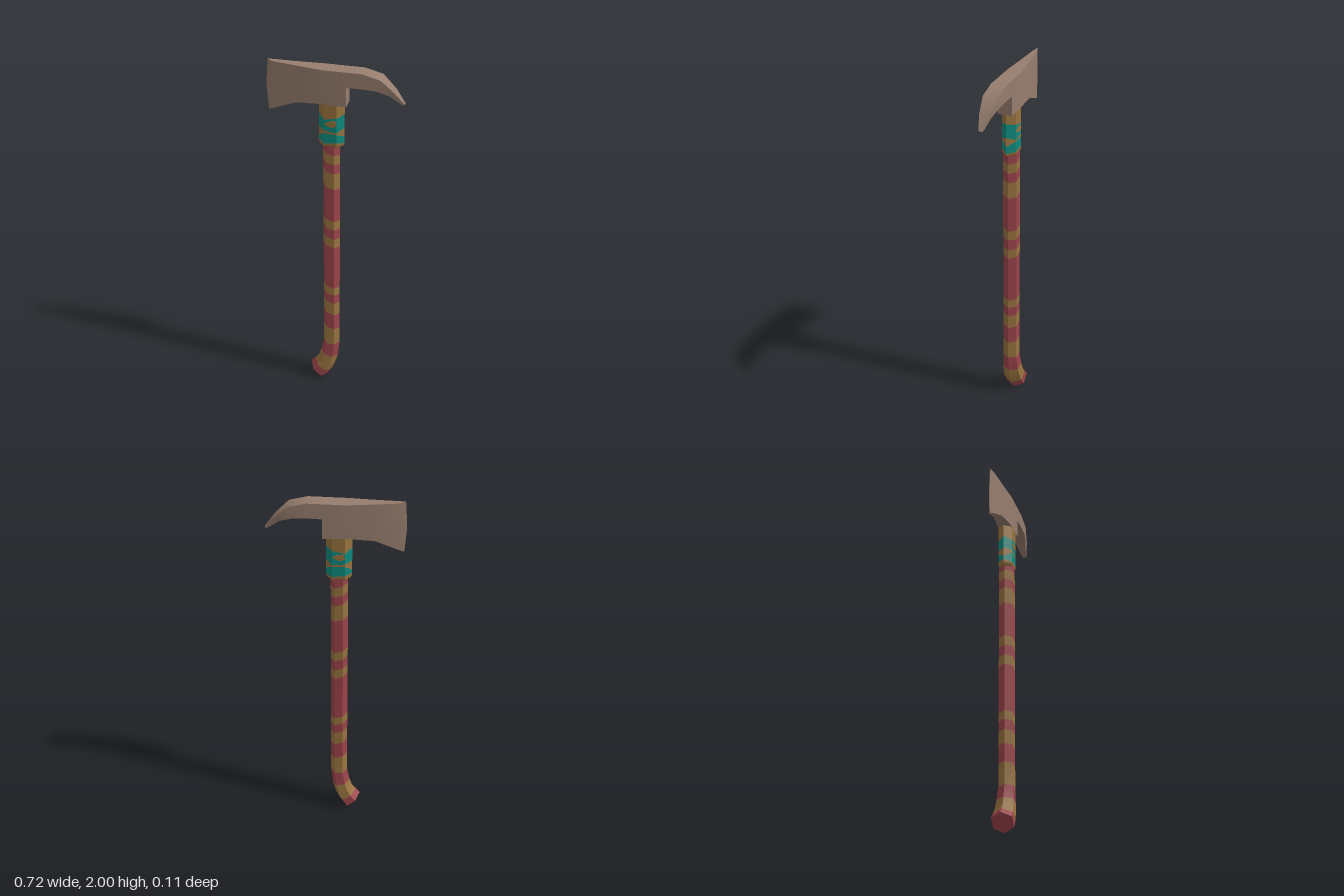
import * as THREE from 'three';
import { toCreasedNormals } from 'three/addons/utils/BufferGeometryUtils.js';

const mat = (name, color) => {
  const m = new THREE.MeshStandardMaterial({ color });
  m.name = name;
  return m;
};

// Skin a list of rings (arrays of [x, y, z]) with end caps; tones[i] is the material index of segment i.
function loft(rings, tones, crease = 0.6) {
  const pos = [];
  const geo = new THREE.BufferGeometry();
  const n = rings[0].length;
  const tri = (a, b, c) => pos.push(...a, ...b, ...c);
  const group = (tone, draw) => {
    const start = pos.length / 3;
    draw();
    geo.addGroup(start, pos.length / 3 - start, tone);
  };
  const cap = (r, flip) => {
    for (let k = 1; k < n - 1; k++) flip ? tri(r[0], r[k + 1], r[k]) : tri(r[0], r[k], r[k + 1]);
  };
  group(tones[0], () => cap(rings[0], true));
  for (let i = 0; i < rings.length - 1; i++) {
    group(tones[i], () => {
      for (let k = 0; k < n; k++) {
        const j = (k + 1) % n;
        const [a, b, c, d] = [rings[i][k], rings[i][j], rings[i + 1][j], rings[i + 1][k]];
        tri(a, b, c);
        tri(a, c, d);
      }
    });
  }
  group(tones[tones.length - 1], () => cap(rings[rings.length - 1], false));
  geo.setAttribute('position', new THREE.Float32BufferAttribute(pos, 3));
  return toCreasedNormals(geo, crease);
}

// Hexagon spanning from a left point to a right point, with optional height offsets per corner
function hexRing(lx, ly, rx, ry, hz, wave = [0, 0, 0, 0, 0, 0]) {
  const corners = [[0, 0], [0.25, 1], [0.75, 1], [1, 0], [0.75, -1], [0.25, -1]];
  return corners.map(([t, s], k) => [lx + (rx - lx) * t, ly + (ry - ly) * t + wave[k], s * hz]);
}

export function createModel() {
  const red = mat('red wrap', 0x9c444a);
  const ochre = mat('ochre wood', 0x98733f);
  const teal = mat('teal paint', 0x0f897d);
  const metal = mat('brown metal', 0x967d6e);
  const axe = new THREE.Group();
  axe.name = 'axe';
  const add = (name, geo, material) => {
    const mesh = new THREE.Mesh(geo, material);
    mesh.name = name;
    axe.add(mesh);
    return mesh;
  };

  // Handle: curved flared foot, then a straight shaft with slanted bands
  const shaft = [
    hexRing(-0.14, 0.09, -0.05, 0.005, 0.055),
    hexRing(-0.115, 0.118, -0.02, 0.052, 0.053),
    hexRing(-0.095, 0.145, 0.0, 0.1, 0.049),
    hexRing(-0.08, 0.19, 0.016, 0.162, 0.045),
  ];
  const tones = [0, 1, 1, 0];
  const bands = [0.26, 0.375, 0.475, 0.555, 0.61, 0.66, 0.93, 0.985, 1.045, 1.1, 1.3, 1.395, 1.45, 1.505];
  bands.forEach((y, i) => {
    const tilt = i ? 0.014 : 0.002;
    shaft.push(hexRing(-0.065, y + tilt, 0.026, y - tilt, 0.039));
    tones.push(i % 2 ? 0 : 1);
  });
  shaft.push(hexRing(-0.065, 1.56, 0.026, 1.56, 0.039));
  tones[tones.length - 1] = 0;
  add('handle', loft(shaft, tones, 0.5), [red, ochre]);

  // Sleeve under the head, with irregular painted bands
  const sleeveRing = (y, wave) => hexRing(-0.085, y, 0.05, y, 0.0395, wave);
  const sleeve = [
    hexRing(-0.076, 1.545, 0.041, 1.545, 0.034),
    sleeveRing(1.558),
    sleeveRing(1.568, [0.008, 0.0, 0.008, -0.005, 0.0, 0.008]),
    sleeveRing(1.615, [-0.02, 0.015, 0.01, -0.012, 0.012, 0.015]),
    sleeveRing(1.645, [0.005, 0.0, -0.01, 0.008, -0.008, 0.0]),
    sleeveRing(1.72, [0.005, -0.012, 0.0, 0.012, 0.0, -0.012]),
    sleeveRing(1.84),
  ];
  add('sleeve', loft(sleeve, [0, 0, 1, 0, 1, 0]), [ochre, teal]);

  // Bare wood patches on the front and back of the sleeve
  const patch = new THREE.Shape([[-0.034, 0], [-0.01, 0.016], [0.03, 0.022], [0.033, -0.008], [0.005, -0.018]]
    .map(([x, y]) => new THREE.Vector2(x, y)));
  const patchGeo = new THREE.ExtrudeGeometry(patch, { depth: 0.002, bevelEnabled: false });
  for (const s of [1, -1]) {
    const mesh = add(s > 0 ? 'frontPatch' : 'backPatch', patchGeo, ochre);
    mesh.position.set(-0.0175, 1.682, s * 0.039);
    if (s < 0) mesh.rotation.y = Math.PI;
  }

  // Head: [x top, y top, x middle, y middle, x bottom, y bottom, half thickness]
  const stations = [
    [-0.35, 2.0, -0.36, 1.86, -0.35, 1.715, 0.0008],
    [-0.325, 1.994, -0.33, 1.87, -0.325, 1.728, 0.012],
    [-0.2, 1.989, -0.2, 1.89, -0.2, 1.782, 0.025],
    [-0.06, 1.985, -0.06, 1.92, -0.06, 1.795, 0.04],
    [0.065, 1.985, 0.065, 1.93, 0.065, 1.79, 0.04],
    [0.065, 1.985, 0.065, 1.93, 0.065, 1.9, 0.04],
    [0.145, 1.985, 0.145, 1.94, 0.145, 1.902, 0.04],
    [0.24, 1.96, 0.23, 1.925, 0.215, 1.898, 0.04],
    [0.31, 1.892, 0.295, 1.882, 0.283, 1.874, 0.028],
    [0.36, 1.826, 0.355, 1.823, 0.35, 1.82, 0.01],
  ];
  const headRings = stations.map(([tx, ty, mx, my, bx, by, h]) => [
    [tx, ty, -h], [tx, ty, h], [mx, my, h], [bx, by, h], [bx, by, -h], [mx, my, -h],
  ]);
  add('axeHead', loft(headRings, headRings.slice(1).map(() => 0)), [metal]);

  return axe;
}
